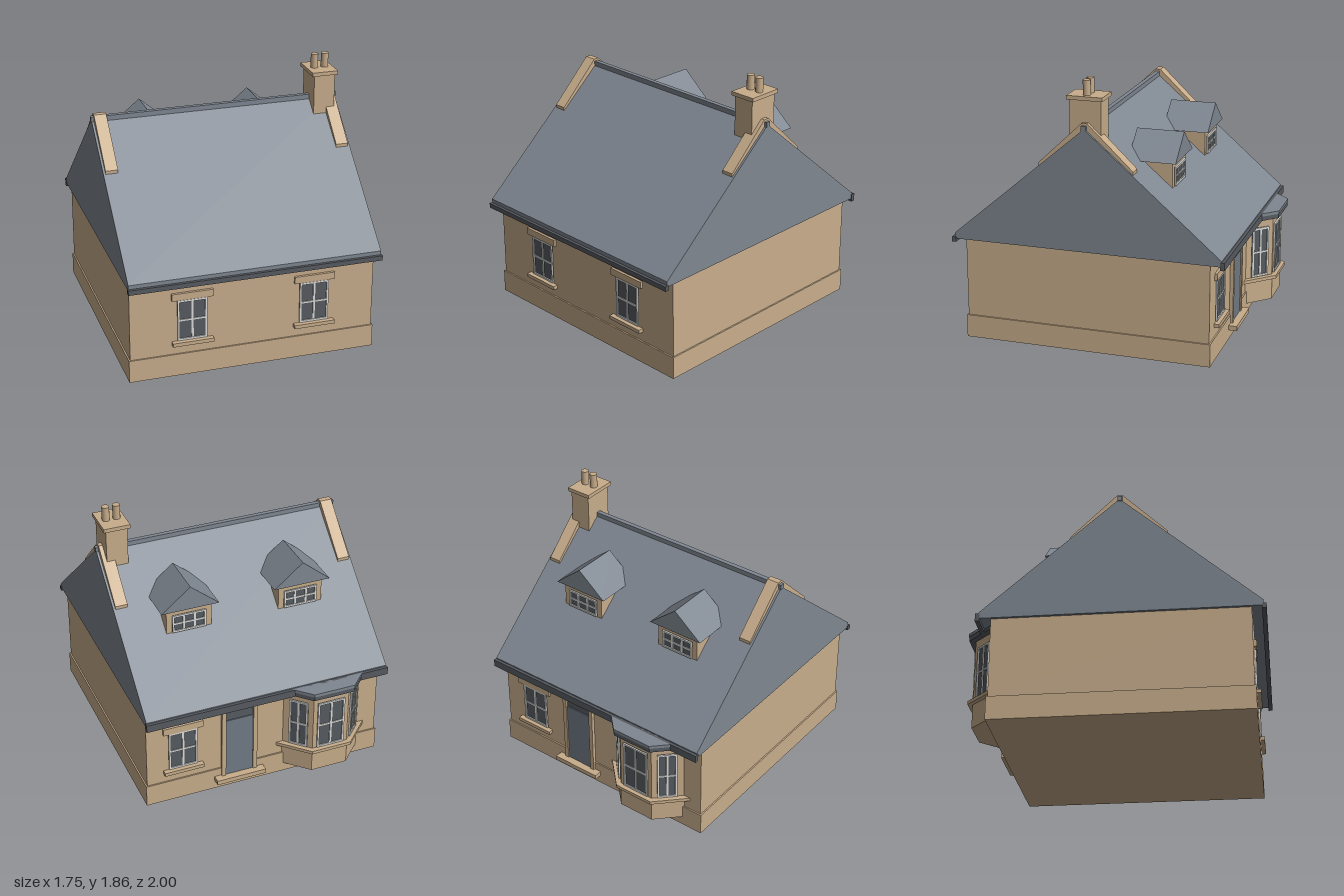
import * as THREE from 'three';

const mat = (name, color) => {
  const m = new THREE.MeshStandardMaterial({ color });
  m.name = name;
  return m;
};

export function createModel() {
  const house = new THREE.Group();
  house.name = 'cottage';
  const stone = mat('stone', 0xc8ad8b);
  const slate = mat('slate', 0x7f8791);
  const gutterGrey = mat('gutterGrey', 0x575b61);
  const white = mat('frameWhite', 0xdcdcda);
  const glass = mat('glass', 0x565b60);
  const doorBlue = mat('doorBlue', 0x707a85);

  const add = (name, geo, material, parent = house) => {
    const m = new THREE.Mesh(geo, material);
    m.name = name;
    parent.add(m);
    return m;
  };
  // box given by its limits on each axis
  const box = (name, x0, x1, y0, y1, z0, z1, material, parent) => {
    const g = new THREE.BoxGeometry(x1 - x0, y1 - y0, z1 - z0);
    g.translate((x0 + x1) / 2, (y0 + y1) / 2, (z0 + z1) / 2);
    return add(name, g, material, parent);
  };
  const poly = (pts) => new THREE.Shape(pts.map(([x, y]) => new THREE.Vector2(x, y)));
  const extrude = (pts, depth) => new THREE.ExtrudeGeometry(poly(pts), { depth, bevelEnabled: false });
  // (z, y) profile swept along x
  const sweepX = (name, pts, x0, x1, material) =>
    add(name, extrude(pts, x1 - x0).rotateY(-Math.PI / 2).translate(x1, 0, 0), material);

  // Paned window facing local +z, centred on local x, y
  const windowUnit = (name, w, h, cols, rows, parent = house) => {
    const g = new THREE.Group();
    g.name = name;
    parent.add(g);
    const X = w / 2, Y = h / 2, t = 0.014;
    box('glass', -X, X, -Y, Y, 0, 0.004, glass, g);
    for (const s of [-1, 1]) {
      const x = s * (X - t / 2), y = s * (Y - t / 2);
      box('frameSide', x - t / 2, x + t / 2, -Y, Y, 0, 0.012, white, g);
      box('frameRail', -X + t, X - t, y - t / 2, y + t / 2, 0, 0.012, white, g);
    }
    for (let i = 1; i < cols; i++) {
      const x = -X + (w * i) / cols;
      box('upright', x - 0.007, x + 0.007, -Y + t, Y - t, 0, 0.01, white, g);
    }
    for (let i = 1; i < rows; i++) {
      const y = -Y + (h * i) / rows;
      box('crossbar', -X + t, X - t, y - 0.006, y + 0.006, 0, 0.009, white, g);
    }
    return g;
  };

  // Wall window with stone lintel and sill
  const wallWindow = (x, z, back) => {
    const g = windowUnit(back ? 'backWindow' : 'frontWindow', 0.205, 0.295, 2, 2);
    g.position.set(x, 0.408, z);
    if (back) g.rotation.y = Math.PI;
    box('lintel', -0.142, 0.142, 0.152, 0.202, -0.01, 0.018, stone, g);
    box('sill', -0.142, 0.142, -0.178, -0.152, -0.01, 0.036, stone, g);
  };

  // Walls and plinth
  box('plinth', -0.865, 0.86, 0, 0.16, -0.81, 0.915, stone);
  box('walls', -0.855, 0.85, 0.16, 0.715, -0.8, 0.905, stone);

  // Main roof with solid gables, ridge and gutters
  const ridgeZ = 0.05, ridgeY = 1.55, slope = 0.86;
  const roofY = (z) => ridgeY - Math.abs(z - ridgeZ) * slope;
  sweepX('roof', [[0.98, 0.71], [0.98, 0.75], [ridgeZ, ridgeY], [-0.88, 0.75], [-0.88, 0.71]], -0.875, 0.87, slate);
  box('ridge', -0.88, 0.875, 1.535, 1.57, 0.035, 0.067, slate);
  box('frontGutter', -0.88, 0.875, 0.688, 0.722, 0.97, 1, gutterGrey);
  box('backGutter', -0.88, 0.875, 0.688, 0.742, -0.9, -0.87, gutterGrey);

  // Stone copings over the top of each gable
  for (const [x0, x1] of [[-0.86, -0.775], [0.77, 0.855]]) {
    const a = 0.37, b = -0.28, t = 0.022;
    sweepX('coping', [
      [a, roofY(a) - 0.01], [a, roofY(a) + t], [ridgeZ + 0.02, 1.585], [ridgeZ - 0.02, 1.585],
      [b, roofY(b) + t], [b, roofY(b) - 0.01], [ridgeZ, ridgeY - 0.01],
    ], x0, x1, stone);
  }

  // Chimney
  box('chimneyStack', 0.678, 0.828, 1.36, 1.735, -0.055, 0.16, stone);
  box('chimneyCap', 0.66, 0.845, 1.733, 1.76, -0.07, 0.175, stone);
  for (const x of [0.715, 0.79]) {
    add('chimneyPot', new THREE.CylinderGeometry(0.026, 0.026, 0.1, 14).translate(x, 1.81, 0.053), stone);
  }

  // Dormers on the back slope
  for (const x of [-0.405, 0.405]) {
    const g = new THREE.Group();
    g.name = 'dormer';
    g.position.x = x;
    house.add(g);
    box('dormerWalls', -0.16, 0.16, 1.08, 1.292, -0.46, -0.22, stone, g);
    add('dormerRoof', extrude([[-0.205, 1.29], [0.205, 1.29], [0, 1.46]], 0.328).translate(0, 0, -0.492), slate, g);
    const w = windowUnit('dormerWindow', 0.24, 0.13, 3, 2, g);
    w.position.set(0, 1.18, -0.46);
    w.rotation.y = Math.PI;
  }

  // Wall windows
  for (const x of [-0.428, 0.425]) wallWindow(x, 0.905, false);
  wallWindow(0.59, -0.8, true);

  // Back door with surround, transom and step
  const dx = 0.185;
  box('door', dx - 0.1, dx + 0.1, 0.1, 0.555, -0.816, -0.8, doorBlue);
  box('transom', dx - 0.1, dx + 0.1, 0.555, 0.63, -0.81, -0.8, glass);
  for (const s of [-1, 1]) {
    const x = dx + s * 0.115;
    box('doorJamb', x - 0.015, x + 0.015, 0.1, 0.63, -0.825, -0.79, stone);
  }
  box('doorLintel', dx - 0.145, dx + 0.145, 0.63, 0.685, -0.828, -0.79, stone);
  box('doorStep', dx - 0.18, dx + 0.18, 0.067, 0.1, -0.867, -0.8, stone);

  // Canted bay: plan grown outward by d, between two heights
  const bay = new THREE.Group();
  bay.name = 'bayWindow';
  bay.position.x = -0.43;
  house.add(bay);
  const bayLayer = (name, d, y0, y1, material) => {
    const f = 0.955 + d, h = 0.13 + 0.414 * d, w = h + f - 0.79;
    const g = extrude([[-w, 0.79], [w, 0.79], [h, f], [-h, f]], y1 - y0);
    add(name, g.rotateX(-Math.PI / 2).translate(0, y0, 0), material, bay);
  };
  bayLayer('bayApron', 0.004, 0.067, 0.23, stone);
  bayLayer('baySill', 0.035, 0.23, 0.254, stone);
  bayLayer('bayWalls', 0, 0.254, 0.69, stone);
  bayLayer('bayFascia', 0.042, 0.688, 0.72, gutterGrey);
  bayLayer('bayRoof', 0.045, 0.72, 0.742, slate);
  const front = windowUnit('bayFrontWindow', 0.2, 0.365, 2, 2, bay);
  front.position.set(0, 0.443, -0.955);
  front.rotation.y = Math.PI;
  for (const s of [-1, 1]) {
    const side = windowUnit('baySideWindow', 0.135, 0.365, 2, 2, bay);
    side.position.set(s * 0.205, 0.443, -0.88);
    side.rotation.y = Math.PI - s * Math.PI / 4;
  }
  return house;
}
